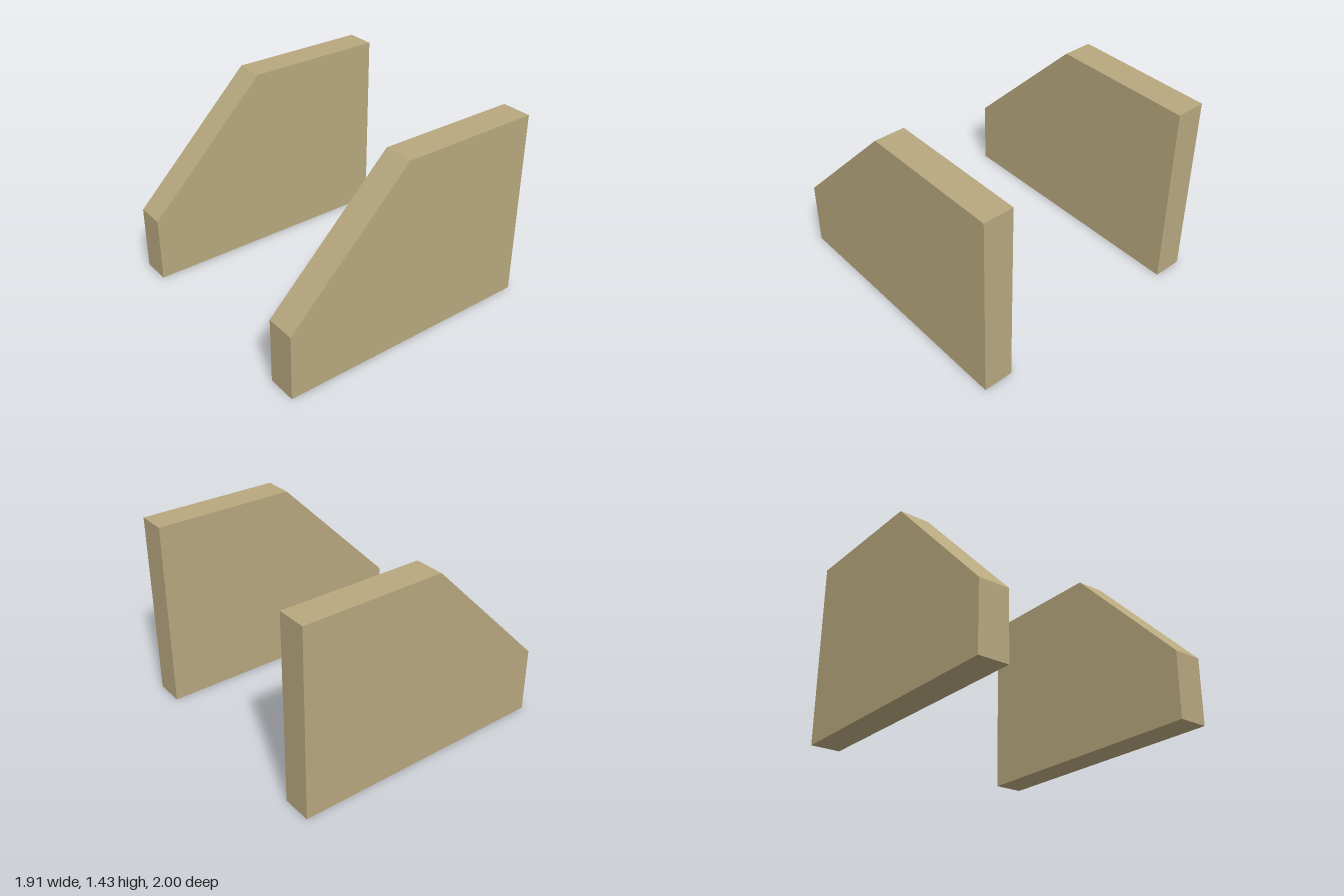
import * as THREE from 'three';

export function createModel() {
  const group = new THREE.Group();
  group.name = 'sideWalls';
  const sandstone = new THREE.MeshStandardMaterial({ color: 0xb8a87f });
  sandstone.name = 'sandstone';

  // Side profile as (z, y): low at the front, 45 degree slope, flat top at the back
  const thickness = 0.225;
  const profile = new THREE.Shape(
    [[-1, 0], [1, 0], [1, 0.5], [0.07, 1.43], [-1, 1.43]].map(([z, y]) => new THREE.Vector2(z, y))
  );
  const geometry = new THREE.ExtrudeGeometry(profile, { depth: thickness, bevelEnabled: false });
  geometry.translate(0, 0, -thickness / 2);
  geometry.rotateY(-Math.PI / 2); // profile x becomes model z

  // One wall on each side
  for (const [name, side] of [['leftWall', 1], ['rightWall', -1]]) {
    const wall = new THREE.Mesh(geometry, sandstone);
    wall.name = name;
    wall.position.x = side * 0.842;
    group.add(wall);
  }
  return group;
}
